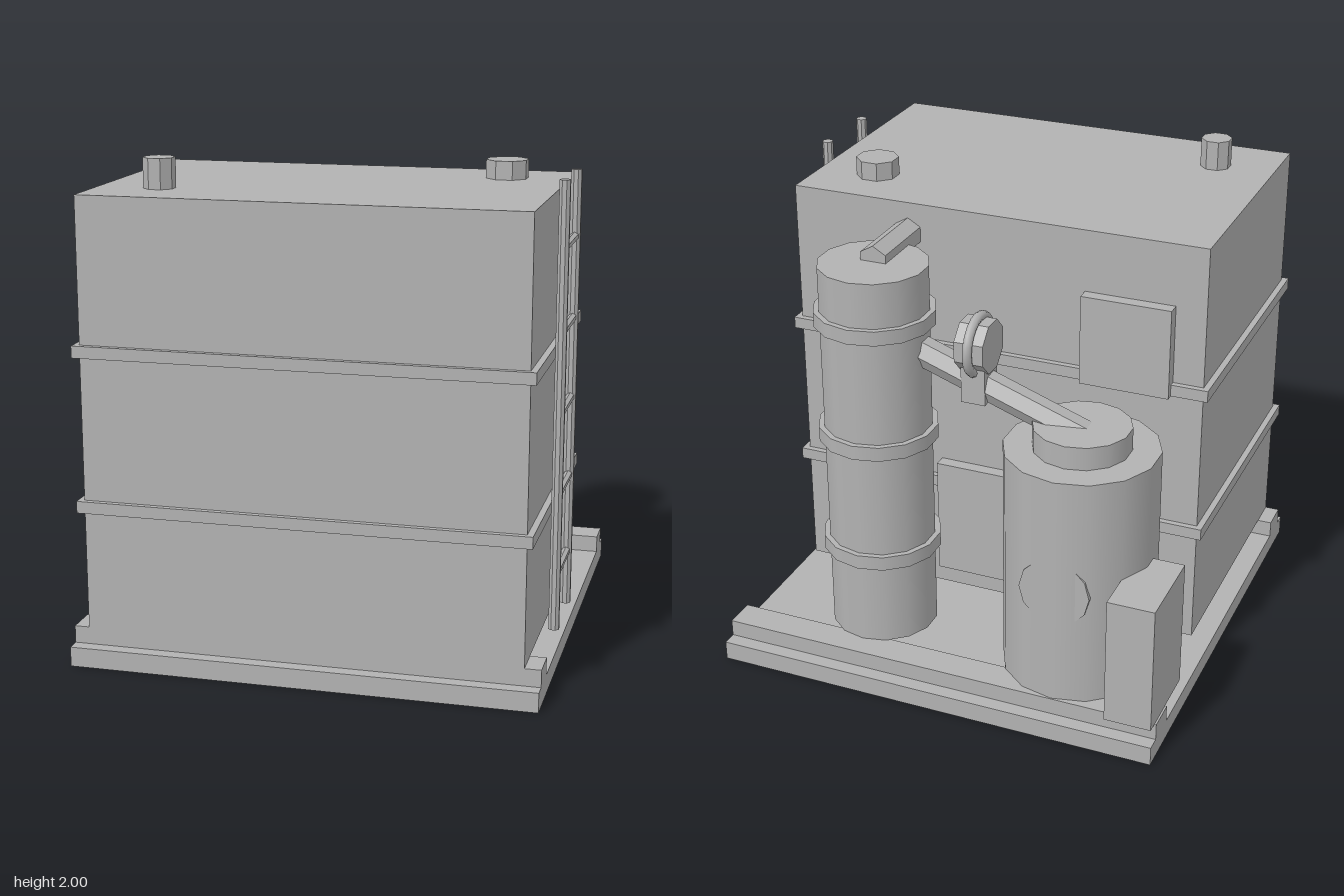
import * as THREE from 'three';

export function createModel() {
  const model = new THREE.Group();
  model.name = 'tankSkid';
  const paint = new THREE.MeshStandardMaterial({ color: 0xb2b2b2 });
  paint.name = 'plain grey';

  const add = (name, geometry, x = 0, y = 0, z = 0) => {
    const mesh = new THREE.Mesh(geometry, paint);
    mesh.name = name;
    mesh.position.set(x, y, z);
    model.add(mesh);
    return mesh;
  };

  // Box given by its limits on each axis
  const box = (name, [x0, x1], [y0, y1], [z0, z1]) =>
    add(name, new THREE.BoxGeometry(x1 - x0, y1 - y0, z1 - z0),
      (x0 + x1) / 2, (y0 + y1) / 2, (z0 + z1) / 2);

  // Upright smooth drum standing between two heights
  const drum = (name, r, y0, y1, x, z, sides = 14) =>
    add(name, new THREE.CylinderGeometry(r, r, y1 - y0, sides), x, (y0 + y1) / 2, z);

  // Faceted prism along y; a flat side faces +z when turned half a step
  const prism = (r, length, sides, halfStep = false) => {
    const g = new THREE.CylinderGeometry(r, r, length, sides);
    if (halfStep) g.rotateY(Math.PI / sides);
    const flat = g.toNonIndexed();
    flat.computeVertexNormals();
    return flat;
  };

  // Base plate with a raised beam along front and back
  const wide = [-0.94, 0.935];
  box('basePlate', wide, [0, 0.08], [-0.94, 0.935]);
  box('frontBeam', wide, [0.08, 0.15], [0.75, 0.88]);
  box('backBeam', wide, [0.08, 0.15], [-0.88, -0.75]);

  // Main tank with two stiffening bands
  box('mainTank', [-0.88, 0.87], [0.15, 1.88], [-0.25, 0.88]);
  for (const y of [0.63, 1.252])
    box('tankBand', [-0.905, 0.895], [y, y + 0.048], [-0.275, 0.903]);

  // Roof nozzles
  add('tallNozzle', prism(0.0635, 0.12, 8, true), -0.632, 1.94, 0.62);
  add('wideNozzle', prism(0.0875, 0.075, 8, true), 0.618, 1.9175, -0.005);

  // Ladder on the side wall
  for (const z of [0.125, 0.44])
    add('ladderRail', prism(0.0225, 1.79, 8, true), 0.915, 1.045, z);
  for (let i = 0; i < 5; i++)
    add('ladderRung', prism(0.017, 0.3, 6).rotateX(Math.PI / 2), 0.915, 0.378 + i * 0.325, 0.2825);

  // Panels on the rear wall of the tank
  box('upperPanel', [-0.755, -0.385], [1.25, 1.625], [-0.303, -0.25]);
  box('lowerPanel', [-0.26, 0.24], [0.25, 0.755], [-0.303, -0.25]);

  // Tall column with three bands
  const cz = -0.565;
  drum('column', 0.22, 0.15, 1.75, 0.37, cz);
  for (const y of [0.503, 1.005, 1.505])
    drum('columnBand', 0.243, y, y + 0.06, 0.37, cz);

  // Duct from column top to tank
  add('topDuct', prism(0.0625, 0.33, 6).rotateX(Math.PI / 2), 0.37, 1.7525, -0.4);

  // Short vessel with raised lid and side hatch
  drum('vessel', 0.31, 0.15, 1.125, -0.5, cz);
  drum('vesselLid', 0.195, 1.1, 1.22, -0.5, cz);
  add('vesselHatch', prism(0.145, 0.1, 12).rotateX(Math.PI / 2), -0.5, 0.63, -0.805);

  // Sloped pipe between vessel lid and column
  const slope = Math.atan(0.35);
  add('slopedPipe', prism(0.06, 0.8 / Math.cos(slope), 6).rotateZ(slope - Math.PI / 2),
    -0.15, 1.297, cz);

  // Valve on the sloped pipe
  box('valveBody', [-0.12, -0.02], [1.25, 1.42], [cz - 0.06, cz + 0.06]);
  add('valveHub', prism(0.108, 0.12, 8, true).rotateZ(Math.PI / 2), -0.07, 1.48, cz);
  add('valveRing', new THREE.TorusGeometry(0.113, 0.02, 8, 20).rotateY(Math.PI / 2), -0.07, 1.48, cz);

  // Control cabinet in the rear corner
  box('controlCabinet', [-0.932, -0.74], [0.15, 0.69], [-0.925, -0.565]);

  return model;
}
